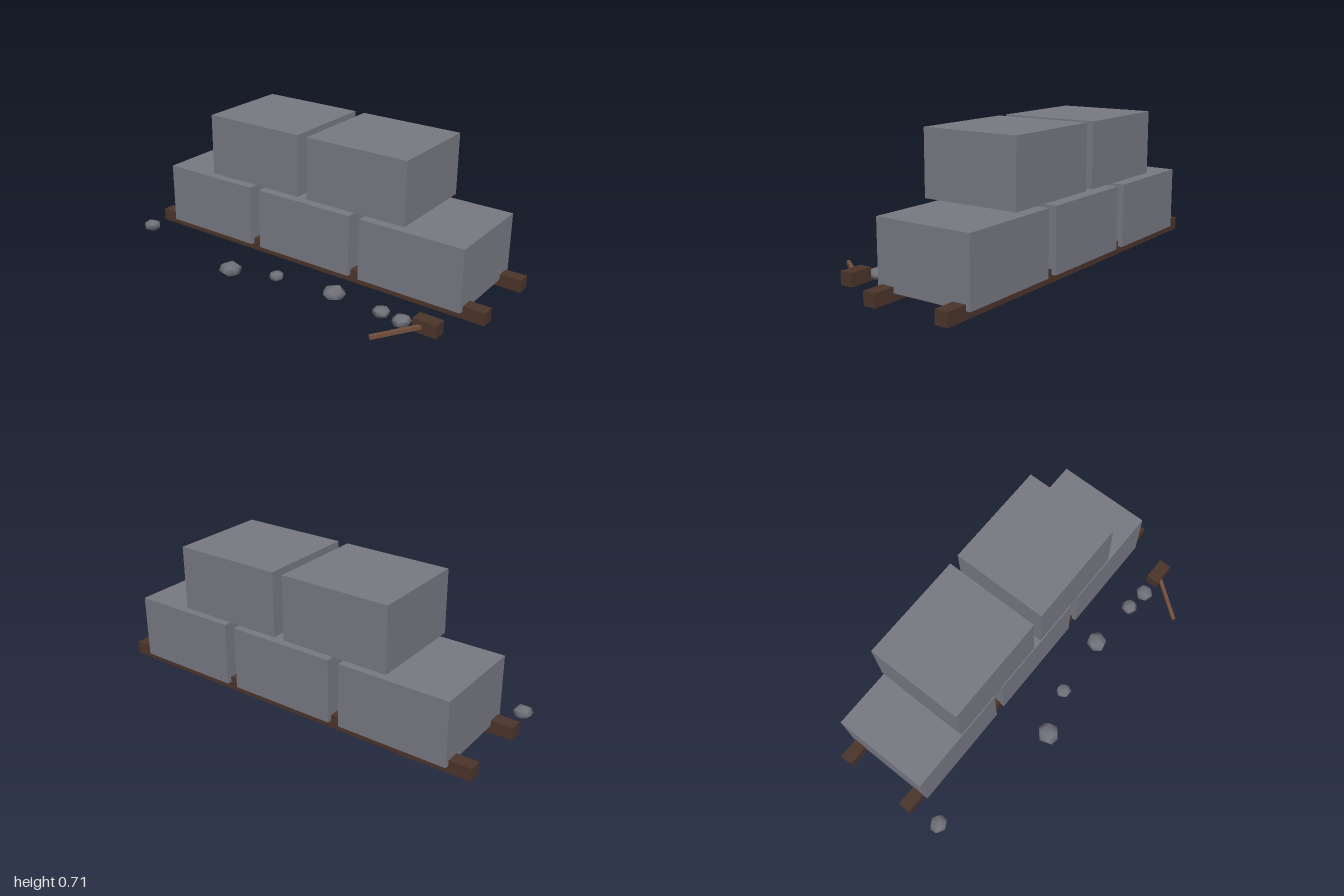
import * as THREE from 'three';
import { mergeVertices } from 'three/addons/utils/BufferGeometryUtils.js';

const material = (name, color) => {
  const m = new THREE.MeshStandardMaterial({ color });
  m.name = name;
  return m;
};

export function createModel() {
  const model = new THREE.Group();
  model.name = 'stoneBlockStack';
  const stone = material('blockStone', 0x787882);
  const rubbleStone = material('rubbleStone', 0x70707a);
  const darkWood = material('darkWood', 0x4a342b);
  const handleWood = material('handleWood', 0x734e3c);

  const add = (name, geometry, mat, x, y, z, parent = model) => {
    const mesh = new THREE.Mesh(geometry, mat);
    mesh.name = name;
    mesh.position.set(x, y, z);
    parent.add(mesh);
    return mesh;
  };

  // Two runners under the stack
  const beam = new THREE.BoxGeometry(2, 0.065, 0.066);
  add('frontBeam', beam, darkWood, 0, 0.045, -0.016);
  add('backBeam', beam, darkWood, 0, 0.045, -0.405);

  // Cut stone blocks: three below, two above
  const block = new THREE.BoxGeometry(0.555, 0.32, 0.5);
  for (const x of [-0.613, -0.001, 0.611]) add('lowerBlock', block, stone, x, 0.21, -0.21);
  for (const x of [-0.306, 0.303]) add('upperBlock', block, stone, x, 0.555, -0.21);

  // Flattened, smooth-shaded rubble stones
  let seed = 7;
  const random = () => (seed = (seed * 16807) % 2147483647) / 2147483647;
  const rockGeometry = () => {
    let g = new THREE.DodecahedronGeometry(1);
    g.deleteAttribute('uv');
    g.deleteAttribute('normal');
    g = mergeVertices(g, 0.001);
    const p = g.attributes.position;
    for (let i = 0; i < p.count; i++) {
      const s = 0.95 + 0.1 * random();
      p.setXYZ(i, p.getX(i) * s, p.getY(i) * s, p.getZ(i) * s);
    }
    g.computeVertexNormals();
    return g;
  };
  const rocks = [
    [-0.951, 0.165, 0.047], [-0.248, 0.31, 0.058], [-0.016, 0.232, 0.039],
    [0.309, 0.203, 0.055], [0.584, 0.222, 0.042], [0.7, 0.237, 0.047],
  ];
  rocks.forEach(([x, z, r], i) => {
    const rock = add('rubbleStone', rockGeometry(), rubbleStone, x, 0.041, z);
    rock.scale.set(r, r * 0.65, r);
    rock.rotation.y = i * 1.3;
  });

  // Mallet lying on the ground
  const mallet = new THREE.Group();
  mallet.name = 'mallet';
  model.add(mallet);
  add('malletHead', new THREE.BoxGeometry(0.121, 0.065, 0.066), darkWood, 0.831, 0.061, 0.233, mallet);
  const from = new THREE.Vector3(0.668, 0.05, 0.453);
  const to = new THREE.Vector3(0.826, 0.062, 0.24);
  const mid = from.clone().add(to).multiplyScalar(0.5);
  const handle = add('malletHandle', new THREE.BoxGeometry(0.018, 0.018, from.distanceTo(to)),
    handleWood, mid.x, mid.y, mid.z, mallet);
  handle.lookAt(to);

  return model;
}
